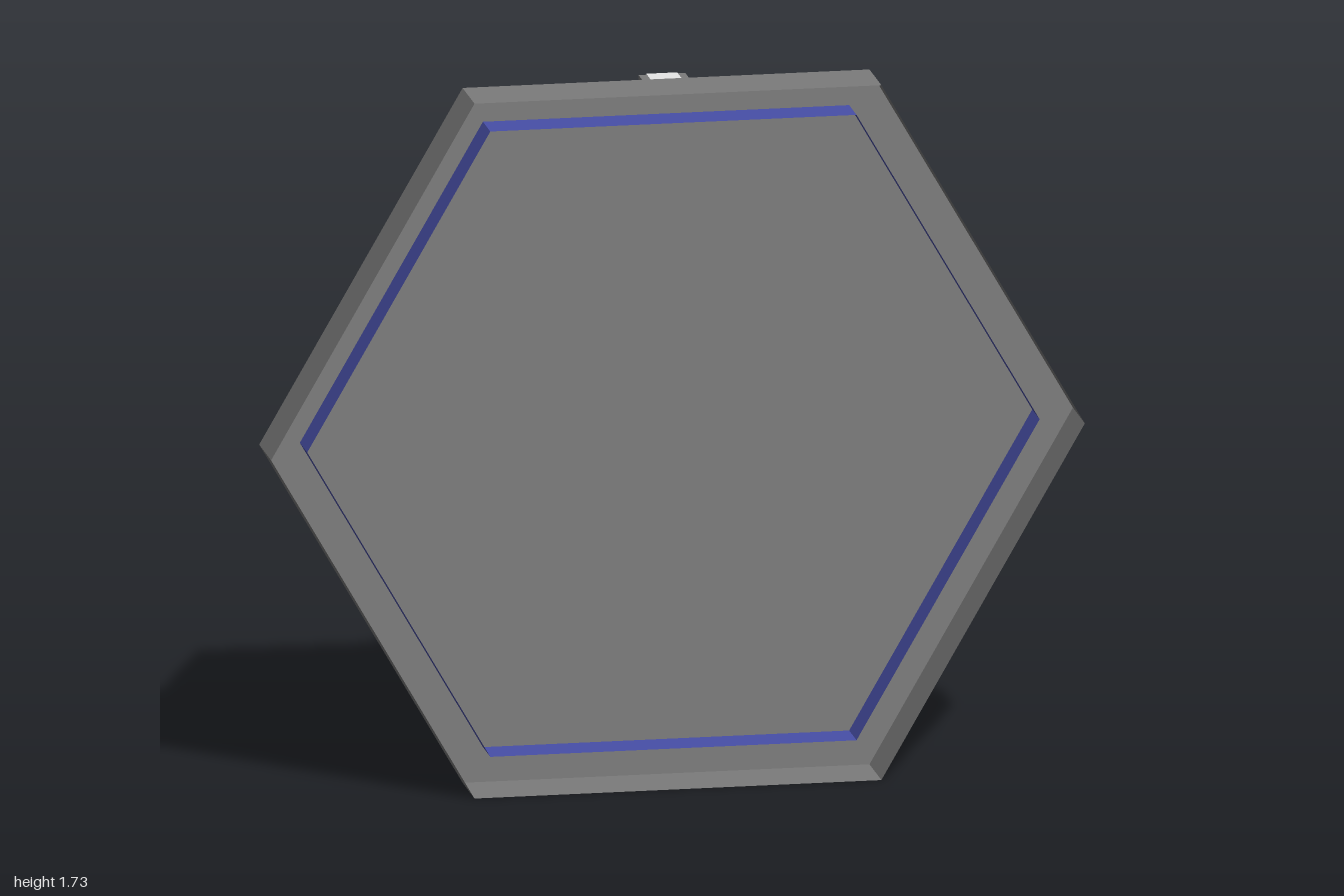
import * as THREE from 'three';

const CENTRE_Y = 0.866;
const FLOOR_Z = -0.05;

function material(name, color) {
  const m = new THREE.MeshStandardMaterial({ color, side: THREE.DoubleSide });
  m.name = name;
  return m;
}

function addMesh(parent, name, geometry, mat) {
  const mesh = new THREE.Mesh(geometry, mat);
  mesh.name = name;
  parent.add(mesh);
  return mesh;
}

// Thin-walled hexagonal tray: open at the front, closed at the back
function hexTray(name, radius, zFront, zBack, mat) {
  const tray = new THREE.Group();
  tray.name = name;
  const wall = new THREE.CylinderGeometry(radius, radius, zFront - zBack, 6, 1, true)
    .rotateY(Math.PI / 6).rotateX(Math.PI / 2).toNonIndexed();
  wall.computeVertexNormals();
  addMesh(tray, name + 'Wall', wall, mat).position.z = (zFront + zBack) / 2;
  const back = new THREE.CircleGeometry(radius, 6).rotateY(Math.PI);
  addMesh(tray, name + 'Back', back, mat).position.z = zBack;
  return tray;
}

// Bar from the hub outwards along +x, standing on the back of the casing
function bar(length, width, zBack) {
  const zFront = FLOOR_Z - 0.001;
  return new THREE.BoxGeometry(length, width, zFront - zBack)
    .translate(length / 2, 0, (zFront + zBack) / 2);
}

export function createModel() {
  const grey = material('casing grey', 0x7c7c7c);
  const light = material('light grey', 0xf0f0f0);
  const blue = material('panel blue', 0x484fa8);

  const model = new THREE.Group();
  model.name = 'hexPanel';
  const body = new THREE.Group();
  body.name = 'body';
  body.position.y = CENTRE_Y;
  model.add(body);

  // Outer casing and the smaller panel that pokes through its back
  body.add(hexTray('casing', 1, 0.108, FLOOR_Z, grey));
  body.add(hexTray('panel', 0.9, 0.048, -0.092, blue));

  // Three arms running to the middle of neighbouring edges
  [90, 30, -30].forEach((degrees, i) => {
    const arm = new THREE.Group();
    arm.name = 'arm' + (i + 1);
    arm.rotation.z = THREE.MathUtils.degToRad(degrees);
    addMesh(arm, 'armBorder', bar(0.864, 0.115, -0.105), grey);
    addMesh(arm, 'armStrip', bar(0.866, 0.076, -0.107), light);
    body.add(arm);
  });

  // Round hub joining the arms
  const hub = new THREE.CylinderGeometry(0.13, 0.13, 0.057, 32).rotateX(Math.PI / 2);
  addMesh(body, 'hub', hub, light).position.z = -0.0795;

  return model;
}
